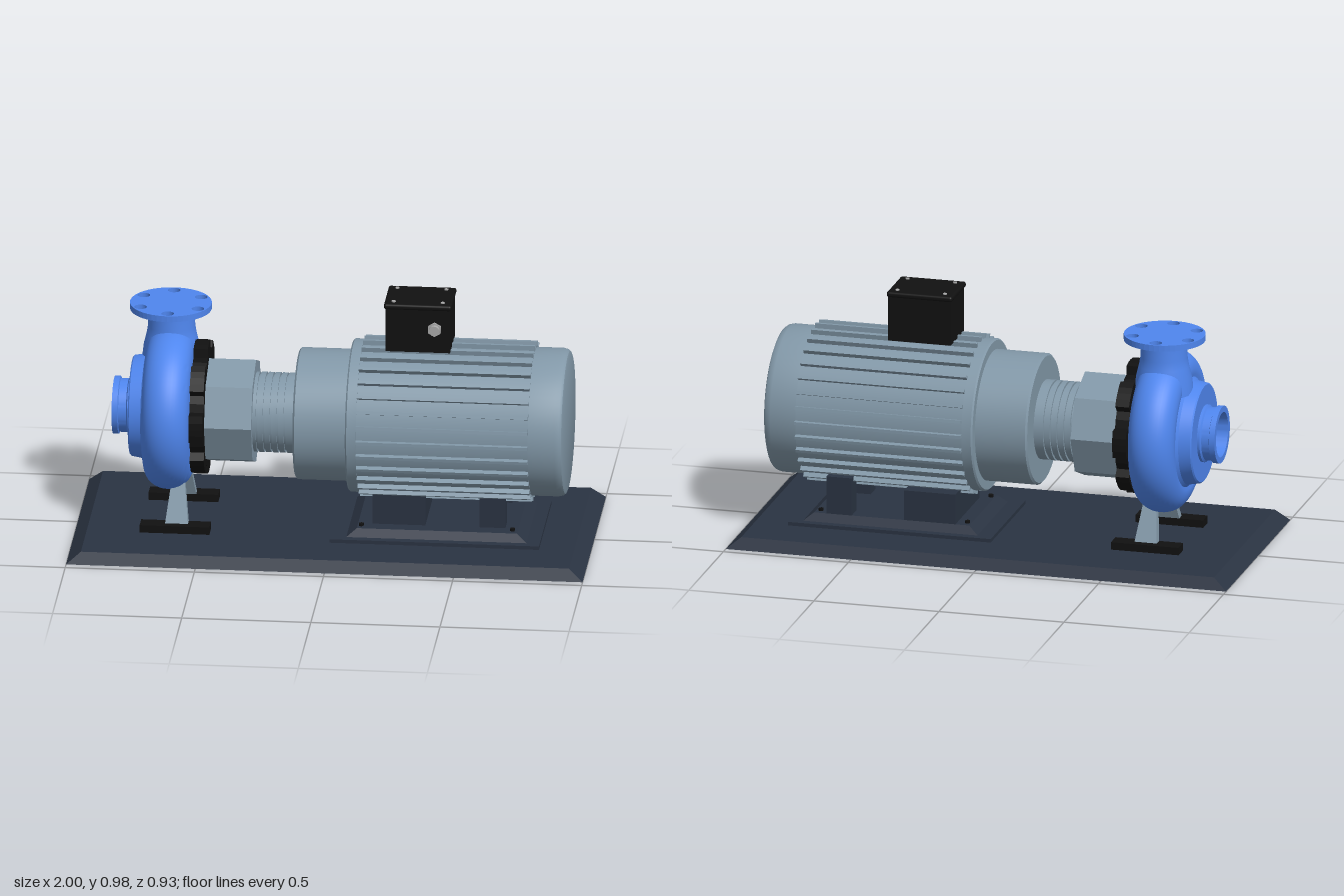
import * as THREE from 'three';
import { toCreasedNormals } from 'three/addons/utils/BufferGeometryUtils.js';
import { RoundedBoxGeometry } from 'three/addons/geometries/RoundedBoxGeometry.js';

const mat = (color) => new THREE.MeshStandardMaterial({ color });

export function createModel() {
  const model = new THREE.Group();
  const blue = mat(0x4f86ee), steel = mat(0x8298a8), navy = mat(0x2a3342), black = mat(0x111111), silver = mat(0xa8a8a8);
  const AXIS = 0.48;

  const add = (name, geometry, material, x = 0, y = 0, z = 0, parent = model) => {
    const mesh = new THREE.Mesh(geometry, material);
    mesh.name = name;
    mesh.position.set(x, y, z);
    parent.add(mesh);
    return mesh;
  };
  const box = (w, h, d) => new THREE.BoxGeometry(w, h, d);

  // Solid of revolution around x; profile is [x, radius] from low x to high x
  const turned = (profile, segments = 64) => {
    const g = new THREE.LatheGeometry(profile.map(([x, r]) => new THREE.Vector2(r, x)), segments);
    return toCreasedNormals(g.rotateZ(-Math.PI / 2), 0.55);
  };

  // Box standing on y = 0 whose top has its own size and z offset
  const tapered = (w0, d0, w1, d1, h, shiftZ = 0) => {
    const g = box(1, h, 1).translate(0, h / 2, 0);
    const p = g.attributes.position;
    for (let i = 0; i < p.count; i++) {
      const top = p.getY(i) > h / 2;
      p.setX(i, p.getX(i) * (top ? w1 : w0));
      p.setZ(i, p.getZ(i) * (top ? d1 : d0) + (top ? shiftZ : 0));
    }
    g.computeVertexNormals();
    return g;
  };

  // Base plate
  add('basePlate', tapered(2, 0.93, 1.89, 0.88, 0.045), navy);

  // Motor pedestal with bolts and mounting blocks
  add('pedestalPlate', box(0.81, 0.014, 0.5), navy, 0.405, 0.052, 0);
  add('pedestalTop', tapered(0.7, 0.44, 0.62, 0.4, 0.032), navy, 0.41, 0.058, 0);
  for (const x of [0.115, 0.7])
    for (const z of [-0.17, 0.17])
      add('pedestalBolt', new THREE.CylinderGeometry(0.01, 0.01, 0.012, 6), black, x, 0.094, z);
  add('frontMotorFoot', box(0.205, 0.12, 0.345), navy, 0.2575, 0.15, -0.0275);
  for (const z of [0.11, -0.165])
    add('rearMotorFoot', box(0.1, 0.15, 0.07), navy, 0.62, 0.165, z);

  // Motor: collar, ribbed shaft housing, body and end cap
  add('motorCollar', turned([[-0.145, 0], [-0.145, 0.247], [-0.138, 0.255], [0.062, 0.255], [0.062, 0.29],
    [0.068, 0.296], [0.105, 0.296], [0.105, 0]]), steel, 0, AXIS);
  add('motorBody', turned([[0.1, 0], [0.1, 0.292], [0.77, 0.292], [0.77, 0]]), steel, 0, AXIS);
  add('motorEndCap', turned([[0.765, 0], [0.765, 0.287], [0.872, 0.287], [0.889, 0.283], [0.898, 0.276],
    [0.902, 0.265], [0.902, 0]]), steel, 0, AXIS);

  // Cooling fins around the motor
  const fins = new THREE.Group();
  fins.name = 'coolingFins';
  fins.position.y = AXIS;
  model.add(fins);
  const finGeometry = box(0.665, 0.035, 0.012).translate(0.4375, 0.2935, 0);
  for (let i = 0; i < 32; i++)
    add('fin', finGeometry, steel, 0, 0, 0, fins).rotation.x = i * Math.PI / 16;

  // Ribbed coupling
  const ribs = [[-0.32, 0], [-0.32, 0.155]];
  for (let i = 0; i < 5; i++) {
    const x = -0.297 + i * 0.027;
    ribs.push([x, 0.155], [x, 0.145], [x + 0.007, 0.145], [x + 0.007, 0.155]);
  }
  ribs.push([-0.14, 0.155], [-0.14, 0]);
  add('ribbedCoupling', turned(ribs), steel, 0, AXIS);

  // Octagonal adapter
  const octagon = new THREE.CylinderGeometry(0.21, 0.21, 0.2, 8).rotateZ(Math.PI / 2);
  add('octagonalAdapter', toCreasedNormals(octagon, 0.3), steel, -0.41, AXIS, -0.008);

  // Castellated clamp ring
  const ringShape = new THREE.Shape();
  const tabs = 8;
  for (let i = 0; i < tabs; i++) {
    const a = i * 2 * Math.PI / tabs;
    for (const [da, r] of [[-0.25, 0.228], [-0.21, 0.262], [-0.1, 0.264], [0, 0.264], [0.1, 0.264], [0.21, 0.262], [0.25, 0.228], [0.39, 0.23]]) {
      const x = r * Math.cos(a + da), y = r * Math.sin(a + da);
      if (i === 0 && da === -0.25) ringShape.moveTo(x, y);
      else ringShape.lineTo(x, y);
    }
  }
  ringShape.closePath();
  ringShape.holes.push(new THREE.Path().absarc(0, 0, 0.17, 0, Math.PI * 2, true));
  const ringGeometry = new THREE.ExtrudeGeometry(ringShape, { depth: 0.055, bevelEnabled: false, curveSegments: 24 });
  add('clampRing', ringGeometry.rotateY(Math.PI / 2), black, -0.547, 0.49, -0.01);

  // Pump casing: rounded volute, stepped cover and hollow inlet
  const PY = 0.483, PZ = -0.014;
  const volute = [[-0.725, 0], [-0.725, 0.2]];
  for (let i = 0; i <= 20; i++) {
    const t = Math.PI * i / 20;
    volute.push([-0.642 - 0.092 * Math.cos(t), 0.225 + 0.093 * Math.pow(Math.sin(t), 0.85)]);
  }
  volute.push([-0.545, 0.2], [-0.545, 0]);
  add('voluteCasing', turned(volute, 80), blue, 0, PY, PZ);
  add('casingCover', turned([[-0.79, 0], [-0.79, 0.19], [-0.785, 0.195], [-0.74, 0.203], [-0.72, 0.225], [-0.72, 0]]), blue, 0, PY, PZ);
  add('inletPort', turned([[-0.8, 0], [-0.8, 0.085], [-0.86, 0.088], [-0.86, 0.112], [-0.838, 0.112],
    [-0.835, 0.104], [-0.805, 0.104], [-0.8, 0.112], [-0.785, 0.112]]), blue, 0, PY, PZ);

  // Discharge neck and drilled flange
  const neck = [[0.115, 0.66], [0.108, 0.72], [0.097, 0.765], [0.091, 0.8], [0.09, 0.875]];
  add('dischargeNeck', new THREE.LatheGeometry(neck.map(([r, y]) => new THREE.Vector2(r, y)), 40), blue, -0.643, 0, -0.07);
  const flange = new THREE.Shape().absarc(0, 0, 0.158, 0, Math.PI * 2, false);
  for (let i = 0; i < 6; i++) {
    const a = Math.PI / 6 + i * Math.PI / 3;
    flange.holes.push(new THREE.Path().absarc(0.128 * Math.cos(a), 0.128 * Math.sin(a), 0.024, 0, Math.PI * 2, true));
  }
  const flangeGeometry = new THREE.ExtrudeGeometry(flange, { depth: 0.024, bevelEnabled: false, curveSegments: 24 });
  add('dischargeFlange', flangeGeometry.rotateX(-Math.PI / 2), blue, -0.646, 0.869, -0.07);

  // Pump legs and foot pads
  for (const s of [1, -1]) {
    add('pumpLeg', tapered(0.09, 0.035, 0.045, 0.025, 0.18, -s * 0.075), steel, -0.6, 0.07, s * 0.165);
    add('footPad', box(0.27, 0.03, 0.065), black, -0.605, 0.06, s * 0.178);
  }

  // Terminal box with lid, screws and cable gland
  add('terminalBox', box(0.25, 0.18, 0.19), black, 0.325, 0.87, -0.01);
  add('terminalLid', new RoundedBoxGeometry(0.262, 0.022, 0.212, 3, 0.009), black, 0.325, 0.967, -0.006);
  for (const x of [0.23, 0.42])
    for (const z of [-0.08, 0.067])
      add('lidScrew', new THREE.CylinderGeometry(0.008, 0.008, 0.008, 12), silver, x, 0.978, z);
  add('glandNut', new THREE.CylinderGeometry(0.028, 0.028, 0.012, 6).rotateX(Math.PI / 2), silver, 0.39, 0.877, 0.09);
  add('cableGland', new THREE.CylinderGeometry(0.02, 0.022, 0.03, 20).rotateX(Math.PI / 2), silver, 0.39, 0.877, 0.095);

  return model;
}
